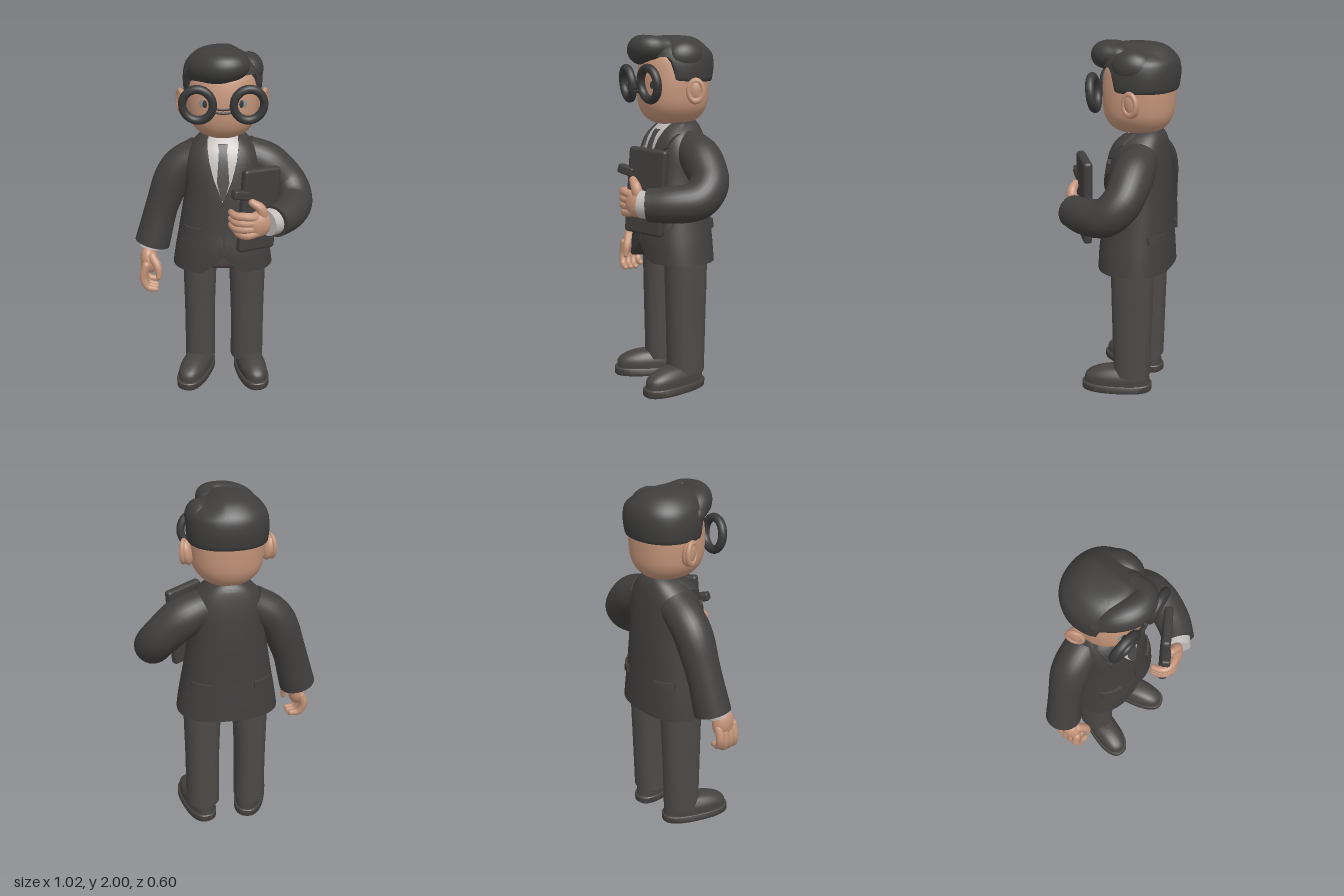
import * as THREE from 'three';
import { toCreasedNormals } from 'three/addons/utils/BufferGeometryUtils.js';
import { RoundedBoxGeometry } from 'three/addons/geometries/RoundedBoxGeometry.js';

const V = (x, y, z) => new THREE.Vector3(x, y, z);
const clamp = THREE.MathUtils.clamp;

// Closed surface through a list of equally sized point loops, wound outwards
function skin(loops, crease = 0) {
  const n = loops[0].length, pos = [], idx = [];
  loops.forEach(l => l.forEach(p => pos.push(p.x, p.y, p.z)));
  for (let i = 0; i < loops.length - 1; i++) for (let j = 0; j < n; j++) {
    const a = i * n + j, b = i * n + (j + 1) % n;
    idx.push(a, b, b + n, a, b + n, a + n);
  }
  [0, loops.length - 1].forEach(e => {
    const c = V(0, 0, 0), base = pos.length / 3;
    loops[e].forEach(p => c.addScaledVector(p, 1 / n));
    loops[e].forEach(p => pos.push(p.x, p.y, p.z));
    pos.push(c.x, c.y, c.z);
    for (let j = 0; j < n; j++) {
      const a = base + j, b = base + (j + 1) % n;
      e ? idx.push(a, b, base + n) : idx.push(b, a, base + n);
    }
  });
  const at = i => V(pos[3 * i], pos[3 * i + 1], pos[3 * i + 2]);
  let volume = 0;
  for (let i = 0; i < idx.length; i += 3) volume += at(idx[i]).dot(at(idx[i + 1]).cross(at(idx[i + 2])));
  if (volume < 0) idx.reverse();
  const g = new THREE.BufferGeometry();
  g.setAttribute('position', new THREE.Float32BufferAttribute(pos, 3));
  g.setIndex(idx);
  g.computeVertexNormals();
  return crease ? toCreasedNormals(g, crease) : g;
}

// Smooth resampling of rows of numbers
function smooth(rows, n) {
  return Array.from({ length: n + 1 }, (_, k) => {
    const u = k / n * (rows.length - 1), i = Math.min(Math.floor(u), rows.length - 2), t = u - i;
    const p = j => rows[clamp(j, 0, rows.length - 1)];
    return rows[0].map((_, c) => {
      const a = p(i - 1)[c], b = p(i)[c], d = p(i + 1)[c], e = p(i + 2)[c];
      return b + 0.5 * t * (d - a + t * (2 * a - 5 * b + 4 * d - e + t * (3 * (b - d) + e - a)));
    });
  });
}

// Horizontal rounded loops from rows [y, half width, back z, front z, centre x]
function stack(rows, power = 2.4, n = 48) {
  const f = v => Math.sign(v) * Math.abs(v) ** (2 / power);
  return rows.map(([y, rx, zb, zf, cx = 0]) => Array.from({ length: n }, (_, j) => {
    const a = j / n * Math.PI * 2;
    return V(cx + rx * f(Math.cos(a)), y, (zb + zf) / 2 + (zf - zb) / 2 * f(Math.sin(a)));
  }));
}

// Tube of changing radius along a curve, with optional round ends
function sweep(points, radii, round = true, n = 20, sides = 20) {
  const curve = new THREE.CatmullRomCurve3(points.map(p => V(...p)));
  const fr = curve.computeFrenetFrames(n), rs = smooth(radii.map(r => [r]), n);
  const ring = (i, shift, scale) => Array.from({ length: sides }, (_, j) => {
    const a = j / sides * Math.PI * 2, r = rs[i][0];
    return curve.getPointAt(i / n).addScaledVector(fr.tangents[i], shift * r)
      .addScaledVector(fr.normals[i], Math.cos(a) * r * scale)
      .addScaledVector(fr.binormals[i], Math.sin(a) * r * scale);
  });
  const loops = rs.map((_, i) => ring(i, 0, 1));
  if (round) [0.4, 0.8, 1.15, 1.45].forEach(a => {
    loops.unshift(ring(0, -Math.sin(a), Math.cos(a)));
    loops.push(ring(n, Math.sin(a), Math.cos(a)));
  });
  return skin(loops, round ? 0 : 0.8);
}

export function createModel() {
  const root = new THREE.Group();
  const mat = (name, color) => Object.assign(new THREE.MeshStandardMaterial({ color }), { name });
  const M = {
    suit: mat('jacketCharcoal', 0x413f3e), trousers: mat('trouserGrey', 0x4d4947),
    hair: mat('hairDark', 0x3f3e3d), skin: mat('skinTan', 0xc5957a), shirt: mat('shirtPale', 0xc2bdba),
    tie: mat('tieGrey', 0x4c4a4a), shoe: mat('shoeDark', 0x474341), glasses: mat('frameBlack', 0x3a3939),
    eye: mat('eyeGrey', 0x8b9296),
  };
  const add = (name, geo, m, p = [0, 0, 0], s = [1, 1, 1], r = [0, 0, 0]) => {
    const mesh = new THREE.Mesh(geo, m);
    mesh.name = name;
    mesh.position.set(...p); mesh.scale.set(...s); mesh.rotation.set(...r);
    root.add(mesh);
    return mesh;
  };
  const ball = (name, m, p, s, r) => add(name, new THREE.SphereGeometry(1, 28, 20), m, p, s, r);

  // Jacket body with a cutaway front hem
  const torso = smooth([[0.745, 0.288, -0.28, 0.135], [0.85, 0.272, -0.275, 0.132], [1, 0.245, -0.267, 0.115],
    [1.2, 0.215, -0.26, 0.095], [1.35, 0.212, -0.248, 0.07], [1.44, 0.185, -0.235, 0.04],
    [1.5, 0.13, -0.22, -0.005], [1.53, 0.085, -0.2, -0.04]], 36);
  const body = stack(torso);
  body.forEach(l => l.forEach(v => {
    if (v.z > 0) v.y += 0.1 * Math.max(0, 1 - Math.abs(v.x) / 0.11) * clamp((0.97 - v.y) / 0.22, 0, 1);
  }));
  add('jacketBody', skin(body, 0.9), M.suit);

  // Height of the jacket surface, used to lay cloth panels on it
  const surface = (x, y, side) => {
    let i = torso.findIndex(r => r[0] >= y);
    i = i < 1 ? torso.length - 1 : i;
    const a = torso[i - 1], b = torso[i], t = clamp((y - a[0]) / (b[0] - a[0]), 0, 1);
    const [rx, zb, zf] = [1, 2, 3].map(k => a[k] + (b[k] - a[k]) * t);
    const q = Math.min(Math.abs(x) / rx, 0.97);
    return (zb + zf) / 2 + side * (zf - zb) / 2 * (1 - q ** 2.4) ** (1 / 2.4);
  };
  // Panel from rows [y, x0, x1], lifted off the surface
  const panel = (name, rows, lift, m, side = 1) => {
    const fine = [];
    for (let i = 0; i < rows.length - 1; i++) for (let k = 0; k < 6; k++)
      fine.push(rows[i].map((v, c) => v + (rows[i + 1][c] - v) * k / 6));
    fine.push(rows[rows.length - 1]);
    const loops = fine.map(([y, a, b]) => {
      const line = (o, xs) => xs.map(k => V(a + (b - a) * k, y, surface(a + (b - a) * k, y, side) + side * o));
      const ks = [0, 0.125, 0.25, 0.375, 0.5, 0.625, 0.75, 0.875, 1];
      return [...line(lift, ks), ...line(-0.006, ks.slice().reverse())];
    });
    add(name, skin(loops, 0.7), m);
  };
  panel('shirtFront', [[1.515, -0.1, 0.1], [1.4, -0.085, 0.085], [1.3, -0.055, 0.055], [1.17, -0.008, 0.008]], 0.004, M.shirt);
  panel('tie', [[1.48, -0.028, 0.028], [1.45, -0.022, 0.022], [1.28, -0.034, 0.034], [1.18, -0.01, 0.01]], 0.01, M.tie);
  panel('frontSeam', [[1.18, -0.002, 0.012], [0.86, -0.002, 0.012]], 0.008, M.suit);
  for (const s of [1, -1]) {
    const mirror = rows => rows.map(([y, a, b]) => s > 0 ? [y, a, b] : [y, -b, -a]);
    panel('lapel', mirror([[1.515, 0.085, 0.115], [1.46, 0.085, 0.16], [1.385, 0.075, 0.15], [1.37, 0.07, 0.125],
      [1.35, 0.066, 0.15], [1.29, 0.05, 0.14], [1.22, 0.022, 0.075], [1.15, 0, 0.012]]), 0.02, M.suit);
    panel('frontPocketFlap', mirror([[1.01, 0.12, 0.222], [0.945, 0.12, 0.222]]), 0.016, M.suit);
    panel('backPocketFlap', mirror([[0.972, 0.12, 0.22], [0.93, 0.12, 0.22]]), 0.016, M.suit, -1);
  }

  // Trousers and shoes
  add('trouserSeat', skin(stack(smooth([[0.72, 0.13, -0.19, 0.01], [0.76, 0.22, -0.21, 0.045], [0.92, 0.22, -0.21, 0.05]], 8))), M.trousers);
  for (const [s, x, w, turn] of [[-1, 0.137, 0.09, 0.33], [1, 0.148, 0.098, 0.2]]) {
    add('trouserLeg', skin(stack(smooth([[0.1, w, -0.19, 0.02, s * x], [0.4, w, -0.198, 0.028, s * x],
      [0.74, w + 0.008, -0.205, 0.035, s * (x - 0.003)], [0.86, w, -0.19, 0.03, s * x]], 14), 2.3), 0.9), M.trousers);
    const place = [[s * (x + 0.025), 0, 0], [1, 1, 1], [0, s * turn, 0]];
    add('shoeSole', skin(stack([[0, 0.086, -0.2, 0.2], [0.006, 0.09, -0.205, 0.205], [0.04, 0.09, -0.205, 0.205],
      [0.045, 0.086, -0.2, 0.2]], 2.5), 0.7), M.shoe, ...place);
    add('shoeUpper', skin(stack(smooth([[0.04, 0.08, -0.195, 0.19], [0.085, 0.08, -0.19, 0.185], [0.115, 0.068, -0.185, 0.15],
      [0.137, 0.05, -0.175, 0.09], [0.145, 0.02, -0.14, 0.04]], 14), 2.4)), M.shoe, ...place);
  }

  // Hanging right arm
  add('rightSleeve', sweep([[-0.12, 1.39, -0.12], [-0.25, 1.3, -0.12], [-0.34, 1.1, -0.11], [-0.412, 0.845, -0.09]],
    [0.1, 0.105, 0.095, 0.102], false, 24, 28), M.suit);
  add('rightCuff', sweep([[-0.405, 0.9, -0.08], [-0.425, 0.825, -0.06]], [0.068, 0.064], false, 3), M.shirt);
  ball('rightPalm', M.skin, [-0.43, 0.765, -0.03], [0.05, 0.085, 0.065], [0, 0, 0.1]);
  for (let i = 0; i < 4; i++) {
    const z = -0.075 + i * 0.034, d = i === 0 ? 0.02 : 0;
    add('rightFinger', sweep([[-0.445, 0.75, z], [-0.462, 0.67 + d, z], [-0.437, 0.612 + d, z + 0.01], [-0.392, 0.604 + d, z + 0.015]],
      [0.024, 0.024, 0.021, 0.016], true, 10, 10), M.skin);
  }
  add('rightThumb', sweep([[-0.41, 0.8, 0.01], [-0.375, 0.74, 0.04], [-0.372, 0.685, 0.05]], [0.026, 0.024, 0.016], true, 10, 12), M.skin);

  // Bent left arm holding a book
  add('leftSleeve', sweep([[0.12, 1.39, -0.12], [0.26, 1.32, -0.12], [0.375, 1.21, -0.1], [0.405, 1.13, -0.02],
    [0.35, 1.105, 0.12], [0.275, 1.1, 0.215]], [0.1, 0.115, 0.108, 0.105, 0.1, 0.09], false, 36, 28), M.suit);
  add('leftCuff', sweep([[0.3, 1.1, 0.18], [0.235, 1.1, 0.235]], [0.078, 0.074], false, 3), M.shirt);
  ball('leftPalm', M.skin, [0.19, 1.1, 0.245], [0.075, 0.075, 0.045], [0, 0.3, 0]);
  for (let i = 0; i < 4; i++) {
    const y = 1.045 + i * 0.036, e = i === 0 ? 0.025 : 0;
    add('leftFinger', sweep([[0.2, 1.06 + i * 0.026, 0.25], [0.13, y, 0.277], [0.065 + e, y, 0.26], [0.04 + e, y, 0.205]],
      [0.026, 0.024, 0.023, 0.017], true, 10, 10), M.skin);
  }
  add('leftThumb', sweep([[0.21, 1.14, 0.24], [0.2, 1.19, 0.25], [0.155, 1.222, 0.245]], [0.032, 0.028, 0.022], true, 10, 12), M.skin);
  add('book', new RoundedBoxGeometry(0.235, 0.47, 0.05, 3, 0.018), M.suit, [0.19, 1.16, 0.18], [1, 1, 1], [0, 0.55, -0.08]);
  add('bookClasp', new RoundedBoxGeometry(0.1, 0.05, 0.05, 2, 0.012), M.suit, [0.09, 1.27, 0.25], [1, 1, 1], [0, 0.55, -0.25]);

  // Head
  add('neck', new THREE.CylinderGeometry(0.085, 0.085, 0.17, 28), M.skin, [0, 1.49, -0.105]);
  add('head', skin(stack(smooth([[1.505, 0.03, -0.12, -0.03], [1.517, 0.09, -0.18, 0.03], [1.55, 0.145, -0.23, 0.08], [1.61, 0.185, -0.262, 0.112],
    [1.7, 0.198, -0.272, 0.122], [1.8, 0.198, -0.272, 0.115], [1.88, 0.18, -0.25, 0.09], [1.95, 0.1, -0.18, 0.02]], 32), 2.2)), M.skin);
  for (const s of [1, -1]) {
    ball('ear', M.skin, [s * 0.215, 1.69, -0.1], [0.032, 0.068, 0.045], [0, s * -0.3, s * -0.15]);
    add('earRim', new THREE.TorusGeometry(0.04, 0.013, 10, 24), M.skin, [s * 0.232, 1.695, -0.095], [1, 1.35, 1], [0, s * 1.2, 0]);
    ball('eye', M.eye, [s * 0.1, 1.725, 0.088], [0.036, 0.046, 0.012], [0, s * 0.45, 0]);
    ball('pupil', M.glasses, [s * 0.096, 1.725, 0.098], [0.018, 0.026, 0.006], [0, s * 0.45, 0]);
    add('glassesRim', new THREE.TorusGeometry(0.081, 0.022, 14, 36), M.glasses, [s * 0.135, 1.732, 0.138], [1, 1.06, 1.1], [0.12, s * 0.12, 0]);
  }
  for (const y of [1.695, 1.715])
    add('glassesBridge', sweep([[-0.065, y, 0.14], [0, y - 0.008, 0.15], [0.065, y, 0.14]], [0.006, 0.006, 0.006], true, 10, 8), M.glasses);

  // Hair: cap with a raised front hairline, swept quiff and side tuft
  const cap = stack(smooth([[1.745, 0.2, -0.275, 0.085], [1.76, 0.212, -0.288, 0.1], [1.84, 0.216, -0.298, 0.112], [1.91, 0.2, -0.285, 0.1],
    [1.965, 0.15, -0.235, 0.07], [1.99, 0.09, -0.18, 0.03], [1.997, 0.02, -0.11, -0.04]], 32), 2.2, 64);
  cap.forEach(l => l.forEach(v => {
    v.y = Math.max(v.y, 1.745 + 0.13 * clamp((v.z - 0.0) / 0.03, 0, 1));
    if (v.x > 0.04) v.y -= 0.03 * clamp((v.y - 1.9) / 0.1, 0, 1) * clamp((v.x - 0.04) / 0.08, 0, 1);
  }));
  add('hairCap', skin(cap, 1.1), M.hair);
  add('hairQuiff', sweep([[-0.165, 1.865, -0.01], [-0.1, 1.905, 0.055], [-0.01, 1.918, 0.11], [0.065, 1.925, 0.1], [0.085, 1.925, 0.01]],
    [0.045, 0.072, 0.08, 0.068, 0.055], true, 28, 24), M.hair);
  ball('hairSideTuft', M.hair, [0.143, 1.875, -0.08], [0.078, 0.09, 0.115]);
  return root;
}
